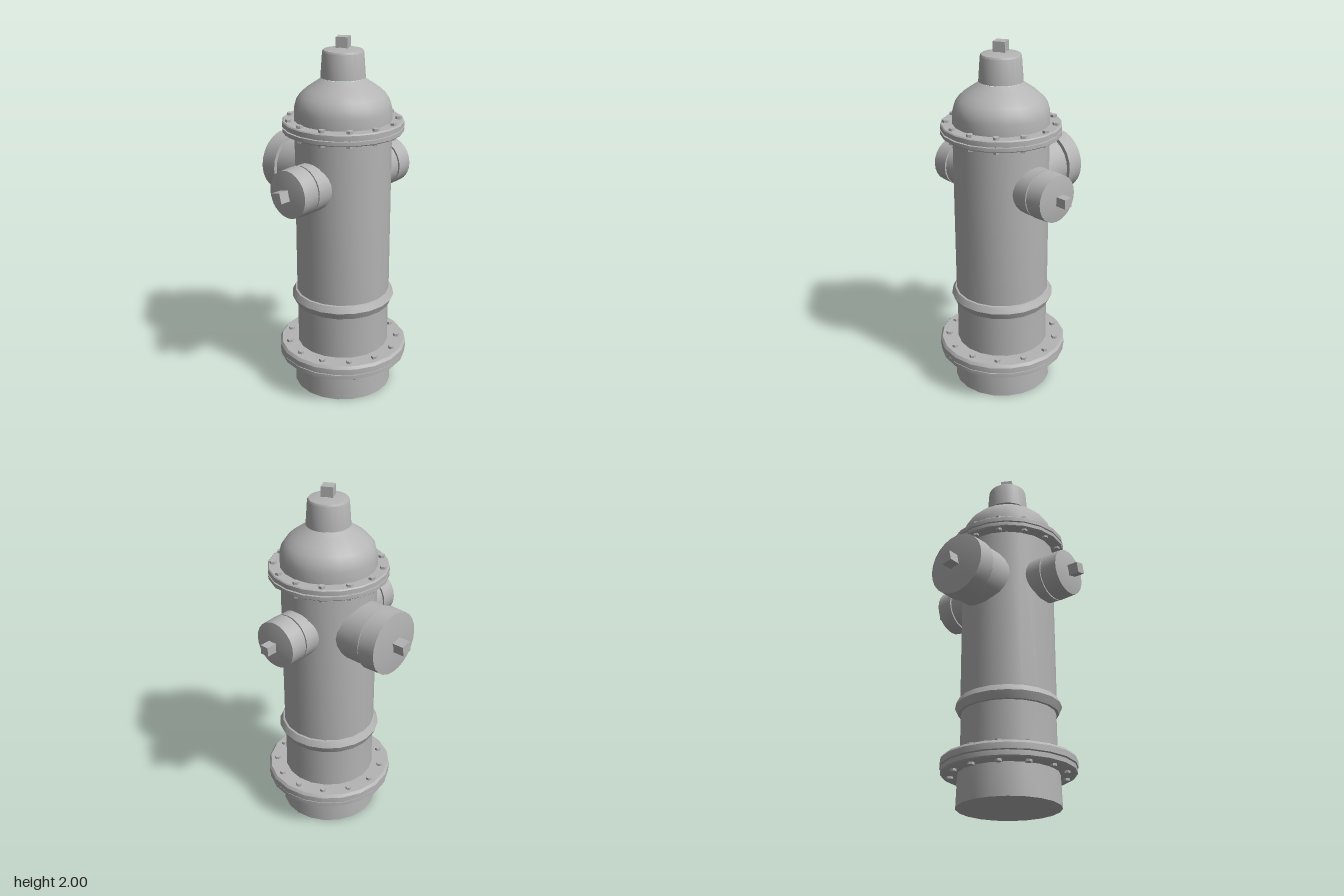
import * as THREE from 'three';
import { toCreasedNormals } from 'three/addons/utils/BufferGeometryUtils.js';

const CREASE = 0.5;

// Turned part from [radius, height] pairs, listed bottom to top
function turned(profile, sides) {
  const points = profile.map(([r, y]) => new THREE.Vector2(r, y));
  return toCreasedNormals(new THREE.LatheGeometry(points, sides), CREASE);
}

export function createModel() {
  const model = new THREE.Group();
  model.name = 'hydrant';
  const iron = new THREE.MeshStandardMaterial({ color: 0xb4b4b4 });
  iron.name = 'grey iron';

  // Everything is turned about the vertical axis, with the rear outlet at an angle
  const hydrant = new THREE.Group();
  hydrant.name = 'turnedAssembly';
  hydrant.rotation.y = 0.553;
  hydrant.position.z = 0.055;
  model.add(hydrant);

  const add = (name, geometry, parent = hydrant) => {
    const mesh = new THREE.Mesh(geometry, iron);
    mesh.name = name;
    parent.add(mesh);
    return mesh;
  };

  // Foot, barrel and the raised band
  add('base', turned([[0, 0], [0.278, 0], [0.271, 0.19], [0, 0.19]], 20));
  add('barrel', turned([[0.26, 0.2], [0.258, 0.5], [0.262, 0.6], [0.262, 1.54]], 20));
  add('band', turned([[0.25, 0.505], [0.272, 0.508], [0.29, 0.548], [0.272, 0.583], [0.25, 0.587]], 20));

  // Bolted double flanges
  add('lowerFlange', turned([
    [0.2, 0.175], [0.352, 0.175], [0.362, 0.182], [0.362, 0.206], [0.345, 0.206], [0.345, 0.213],
    [0.366, 0.213], [0.366, 0.245], [0.354, 0.26], [0.2, 0.26]], 20));
  add('upperFlange', turned([
    [0.2, 1.502], [0.318, 1.502], [0.326, 1.508], [0.326, 1.528], [0.312, 1.528], [0.312, 1.536],
    [0.326, 1.536], [0.326, 1.56], [0.32, 1.566], [0.2, 1.566]], 20));

  // Each bolt passes through both plates, showing its head above and its nut below
  function bolts(name, radius, bottom, top) {
    const ring = new THREE.Group();
    ring.name = name;
    const geometry = new THREE.CylinderGeometry(0.018, 0.018, top - bottom, 6).toNonIndexed();
    geometry.computeVertexNormals();
    for (let i = 0; i < 13; i++) {
      const a = 0.25 + (i / 13) * Math.PI * 2;
      const bolt = add('bolt', geometry, ring);
      bolt.position.set(Math.sin(a) * radius, (bottom + top) / 2, Math.cos(a) * radius);
      bolt.rotation.y = a;
    }
    hydrant.add(ring);
  }
  bolts('lowerBolts', 0.312, 0.162, 0.275);
  bolts('upperBolts', 0.295, 1.49, 1.58);

  // Bonnet with its cap and operating nut
  add('bonnet', turned([
    [0.262, 1.55], [0.262, 1.625], [0.25, 1.668], [0.228, 1.7], [0.195, 1.73],
    [0.155, 1.757], [0.112, 1.786]], 20));
  add('bonnetCap', turned([
    [0.1, 1.788], [0.12, 1.79], [0.119, 1.8], [0.11, 1.922], [0.104, 1.932], [0, 1.952]], 20));
  const nut = add('operatingNut', new THREE.BoxGeometry(0.065, 0.09, 0.065));
  nut.position.y = 1.955;
  nut.rotation.y = -1.082;

  // Outlet: neck, groove, capped end and square nut, pointing along +z before turning
  function outlet(name, angle, profile, nutSize, nutEnd, nutTurn) {
    const group = new THREE.Group();
    group.name = name;
    group.position.y = 1.245;
    group.rotation.y = angle;
    add('neckAndCap', turned(profile, 24).rotateX(Math.PI / 2), group);
    const capNut = add('capNut', new THREE.BoxGeometry(nutSize, nutSize, 0.09), group);
    capNut.position.z = nutEnd - 0.045;
    capNut.rotation.z = nutTurn;
    hydrant.add(group);
  }
  const side = [[0.13, 0.15], [0.13, 0.317], [0.122, 0.317], [0.122, 0.326],
    [0.132, 0.326], [0.128, 0.42], [0, 0.444]];
  const rear = [[0.168, 0.1], [0.168, 0.346], [0.155, 0.346], [0.155, 0.357],
    [0.178, 0.357], [0.175, 0.455], [0, 0.478]];
  outlet('leftOutlet', Math.PI / 2, side, 0.05, 0.499, 0);
  outlet('rightOutlet', -Math.PI / 2, side, 0.058, 0.497, 0.25);
  outlet('rearOutlet', Math.PI, rear, 0.06, 0.538, 0.22);

  return model;
}
